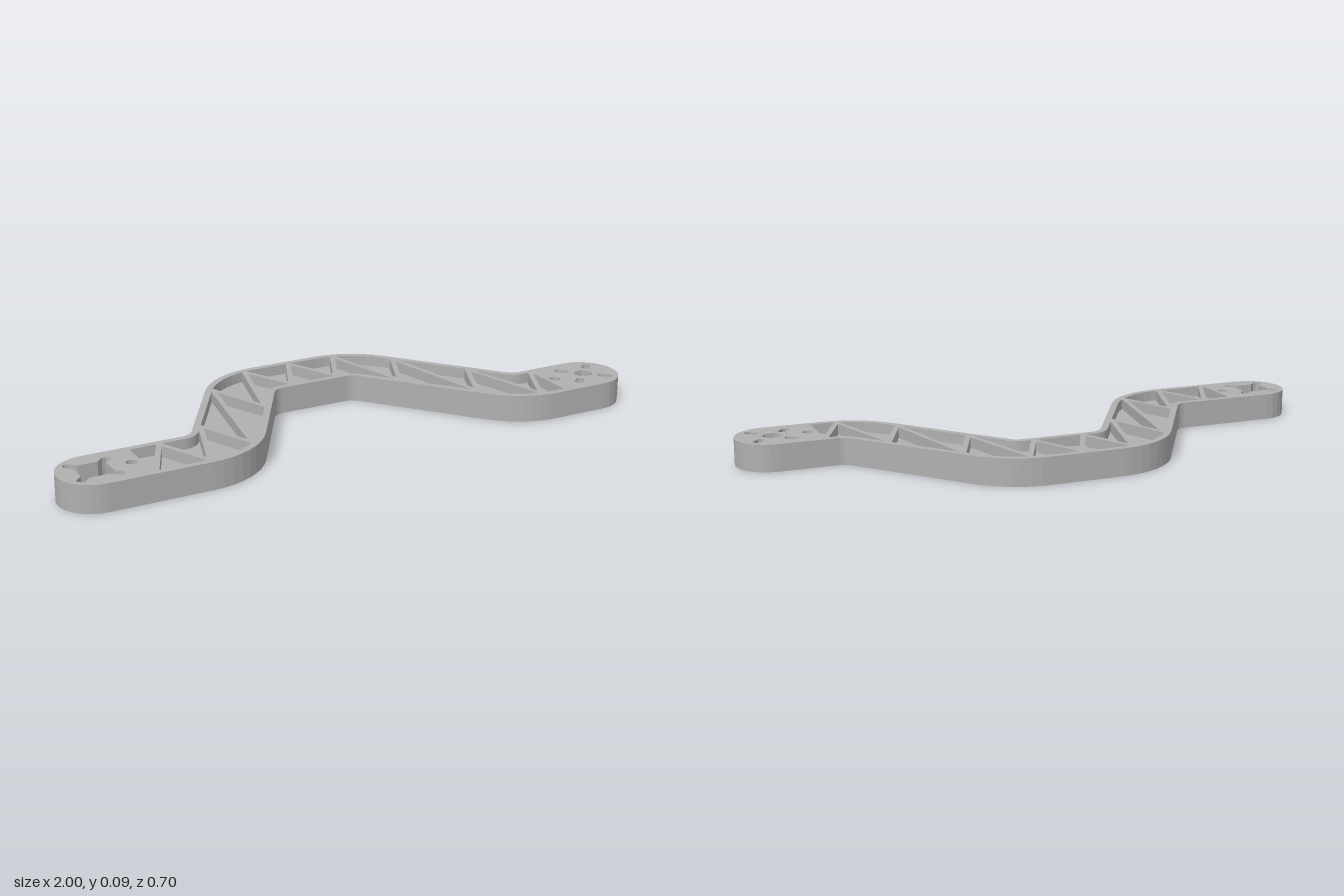
import * as THREE from 'three';

const H = 0.09, HALF = 0.115, RIM = 0.022, BEND = 0.165, WEB = 0.02;
const Z = 0.2375, END = 0.885;

// Plan coordinates: x to the model's left, y towards the back (-z).
const V = (x, y) => new THREE.Vector2(x, y);
const bends = [V(-0.4625, -Z), V(-0.1775, Z), V(0.235, Z), V(0.615, -Z)];

// Centre line with rounded bends: list of { p, n }, n pointing to the back side.
function centreLine(x0, x1) {
  const pts = [V(x0, -Z), ...bends, V(x1, -Z)];
  const out = [{ p: pts[0], n: V(0, 1) }];
  for (let i = 1; i < pts.length - 1; i++) {
    const a = pts[i].clone().sub(pts[i - 1]).normalize();
    const b = pts[i + 1].clone().sub(pts[i]).normalize();
    const turn = Math.atan2(a.cross(b), a.dot(b)), s = Math.sign(turn);
    const start = pts[i].clone().addScaledVector(a, -BEND * Math.tan(Math.abs(turn) / 2));
    const n0 = V(-a.y, a.x);
    const centre = start.addScaledVector(n0, s * BEND);
    for (let k = 0; k <= 8; k++) {
      const n = n0.clone().rotateAround(V(0, 0), turn * k / 8);
      out.push({ p: centre.clone().addScaledVector(n, -s * BEND), n });
    }
  }
  out.push({ p: pts[pts.length - 1], n: V(0, 1) });
  return out;
}
const offset = (line, d) => line.map(({ p, n }) => p.clone().addScaledVector(n, d));

// Points of an arc
function arc(cx, cy, r, a0, a1, n) {
  return Array.from({ length: n + 1 }, (_, i) => {
    const a = a0 + (a1 - a0) * i / n;
    return V(cx + r * Math.cos(a), cy + r * Math.sin(a));
  });
}
const circle = (cx, cy, r, n) => arc(cx, cy, r, 0, 2 * Math.PI, n).slice(0, n);
const place = (list, cx, angle) =>
  list.map(([u, v]) => V(u, v).rotateAround(V(0, 0), angle).add(V(cx, -Z)));

function extrude(points, holes, y0, depth, material, name) {
  const shape = new THREE.Shape(points);
  shape.holes = holes.map(h => new THREE.Path(h));
  const geo = new THREE.ExtrudeGeometry(shape, { depth, bevelEnabled: false });
  geo.rotateX(-Math.PI / 2).translate(0, y0, 0);
  const mesh = new THREE.Mesh(geo, material);
  mesh.name = name;
  return mesh;
}

// y of a polyline that runs along x
function yAt(pts, x) {
  for (let i = 1; i < pts.length; i++) {
    const a = pts[i - 1], b = pts[i];
    if (x <= b.x) return a.y + (b.y - a.y) * (x - a.x) / (b.x - a.x);
  }
  return pts[pts.length - 1].y;
}

export function createModel() {
  const group = new THREE.Group();
  group.name = 'offsetArm';
  const grey = new THREE.MeshStandardMaterial({ color: 0xb0b0b0 });
  grey.name = 'plain grey';

  // Outline with round ends
  const line = centreLine(-END, END);
  const outline = [
    ...offset(line, -HALF).slice(0, -1),
    ...arc(END, -Z, HALF, -Math.PI / 2, Math.PI / 2, 14),
    ...offset(line, HALF).reverse().slice(1, -1),
    ...arc(-END, -Z, HALF, Math.PI / 2, Math.PI * 1.5, 14).slice(0, -1),
  ];

  // Lightening pocket
  const inner = centreLine(-0.737, 0.73);
  const front = offset(inner, RIM - HALF), back = offset(inner, HALF - RIM);
  const pocket = [...front, ...back.slice().reverse()];

  // Mounting holes: cross-shaped on one end, hub hole with four slots on the other
  const cross = [], slots = [];
  for (let k = 0; k < 4; k++) {
    const a = Math.PI / 4 + k * Math.PI / 2;
    cross.push(...place([[0.058, -0.014], [0.088, -0.014], [0.097, -0.007],
      [0.097, 0.007], [0.088, 0.014], [0.058, 0.014]], -END, a));
    slots.push(place([[0.051, -0.007], [0.058, -0.014], [0.09, -0.014], [0.098, -0.007],
      [0.098, 0.007], [0.09, 0.014], [0.058, 0.014], [0.051, 0.007]], END - 0.005, a));
  }
  const holes = [pocket, cross, ...slots, circle(END - 0.005, -Z, 0.033, 6),
    circle(-0.767, -Z, 0.018, 10), circle(0.762, -Z, 0.018, 10)];
  group.add(extrude(outline, holes, 0, H, grey, 'frame'));

  // Thin web closing the pocket at mid height
  group.add(extrude(pocket, [], (H - WEB) / 2, WEB, grey, 'web'));

  // Zigzag ribs from rim to rim
  const ribs = new THREE.Group();
  ribs.name = 'ribs';
  const count = 17, x0 = -0.727, x1 = 0.727;
  const node = i => {
    const x = x0 + (x1 - x0) * i / count;
    return V(x, yAt(i % 2 ? back : front, x));
  };
  for (let i = 0; i < count; i++) {
    const a = node(i), b = node(i + 1), d = b.clone().sub(a);
    const rib = new THREE.Mesh(new THREE.BoxGeometry(d.length() + 0.012, H, 0.017), grey);
    rib.name = 'rib';
    rib.position.set((a.x + b.x) / 2, H / 2, -(a.y + b.y) / 2);
    rib.rotation.y = d.angle();
    ribs.add(rib);
  }
  group.add(ribs);
  return group;
}
